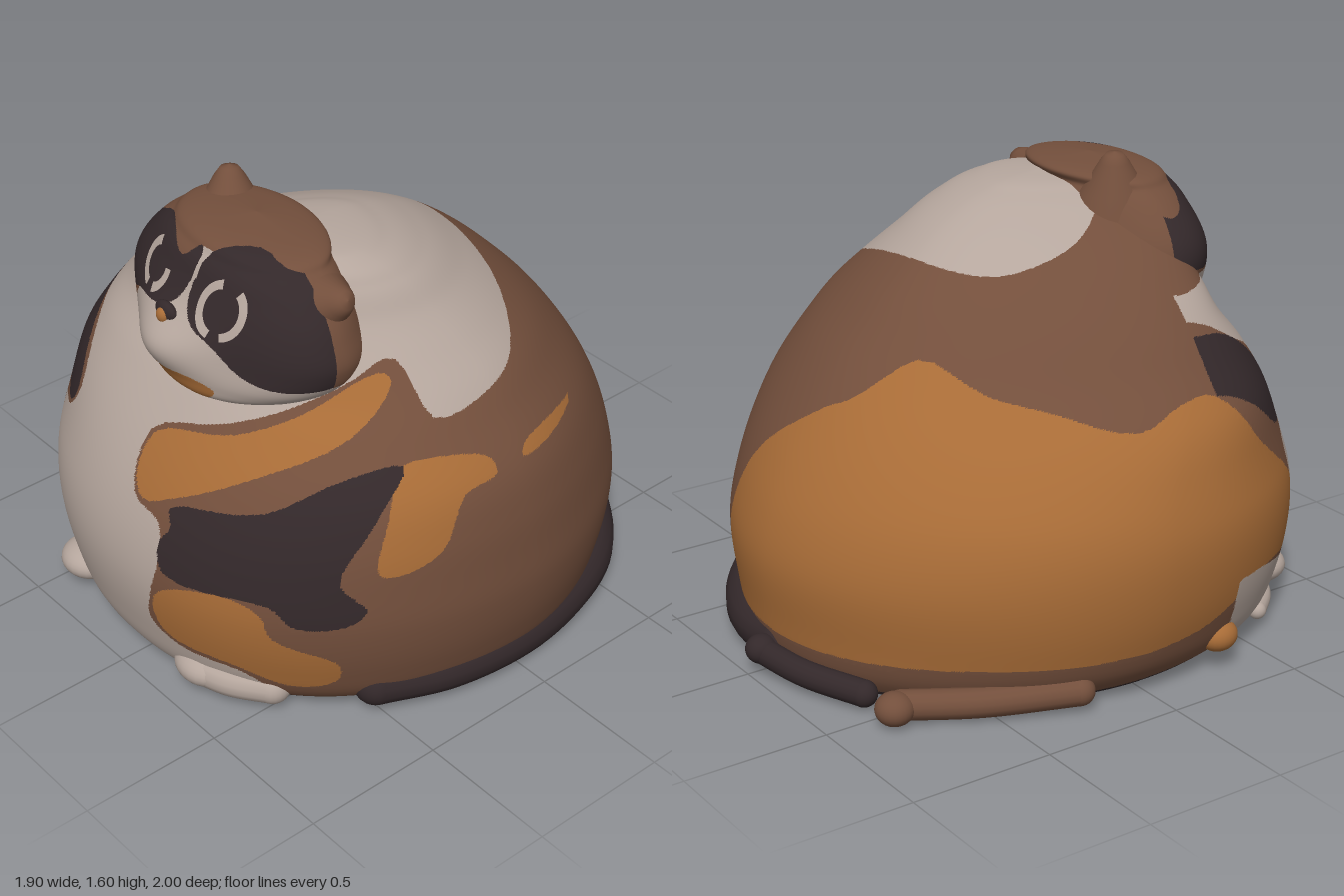
import * as THREE from 'three';

const mat = (name, color) => {
  const m = new THREE.MeshStandardMaterial({ color });
  m.name = name;
  return m;
};

// Oval exponents: the front half is a little squarer than the back half
const FRONT = 2.12, BACK = 1.88;
const spow = (v, p) => Math.sign(v) * Math.abs(v) ** (2 / p);

// Rounds a patch outline, and tests whether a point lies inside it
function smooth(poly) {
  const v = poly.map(([a, b]) => new THREE.Vector3(a, b, 0));
  return new THREE.CatmullRomCurve3(v, true).getPoints(poly.length * 4).map((p) => [p.x, p.y]);
}
function inside(poly, a, b) {
  let hit = false;
  for (let i = 0, j = poly.length - 1; i < poly.length; j = i++) {
    const [xi, yi] = poly[i], [xj, yj] = poly[j];
    if ((yi > b) !== (yj > b) && a < ((xj - xi) * (b - yi)) / (yj - yi) + xi) hit = !hit;
  }
  return hit;
}

// Cross-sections: y, centre x, half width, front z, back z, z of the widest place
const bodyRings = [
  [0.02, 0, 0.8, 0.88, -0.87], [0.08, 0, 0.865, 0.93, -0.9], [0.2, 0, 0.915, 0.97, -0.92],
  [0.4, 0, 0.95, 1.0, -0.935], [0.55, 0, 0.945, 0.985, -0.9], [0.7, 0.015, 0.915, 0.935, -0.83],
  [0.85, 0.03, 0.86, 0.85, -0.735], [1.0, 0.045, 0.75, 0.73, -0.62], [1.1, 0.05, 0.675, 0.63, -0.525],
  [1.2, 0.05, 0.58, 0.58, -0.42], [1.3, 0.06, 0.475, 0.53, -0.29], [1.4, 0.1, 0.36, 0.48, -0.12],
  [1.46, 0.12, 0.26, 0.44, 0.03], [1.49, 0.12, 0.15, 0.39, 0.16], [1.5, 0.12, 0, 0.28, 0.28],
].map((r) => [...r, (r[3] + r[4]) / 2]);
const headRings = [
  [1.0, 0.06, 0.1, 0.67, 0.4, 0.45], [1.04, 0.06, 0.28, 0.735, 0.25, 0.45], [1.1, 0.06, 0.4, 0.745, 0.18, 0.45],
  [1.2, 0.05, 0.47, 0.73, 0.16, 0.45], [1.3, 0.04, 0.465, 0.715, 0.18, 0.46], [1.4, 0.045, 0.41, 0.68, 0.22, 0.45],
  [1.48, 0.05, 0.325, 0.635, 0.26, 0.43], [1.53, 0.05, 0.22, 0.56, 0.28, 0.41], [1.55, 0.05, 0, 0.42, 0.42, 0.42],
];
function sampler(rings) {
  const ys = new Float32Array(rings.map((r) => r[0]));
  const vals = new Float32Array(rings.flatMap((r) => r.slice(1)));
  const curve = new THREE.CubicInterpolant(ys, vals, 5, new Float32Array(5));
  return (y) => curve.evaluate(y);
}
const headAt = sampler(headRings);
// Swellings along z: the muzzle, and the right shoulder (side runs from -1 to 1 across the body)
const muzzle = (x, y) => 0.09 * Math.exp(-(x * x) / 0.028 - (y - 1.2) ** 2 / 0.01);
const shoulder = (x, y, side) => (side < 0 ? 0.22 * side * side * THREE.MathUtils.smoothstep(y, 0.6, 1.1) : 0);

// Front surface of the head, used to drape the face details
function faceZ(x, y) {
  const [cx, hw, zf, , zm] = headAt(y);
  const d = Math.min(1, Math.abs((x - cx) / hw));
  return zm + (zf - zm) * (1 - d ** FRONT) ** (1 / FRONT) + muzzle(x, y);
}

// Skins the cross-sections; triangles are split along patch borders and sorted by colour
function loft(rings, rows, segs, colourAt, materials, swell) {
  const at = sampler(rings), y0 = rings[0][0], y1 = rings[rings.length - 1][0];
  const pos = [];
  for (let i = 0; i <= rows; i++) {
    const y = y0 + (y1 - y0) * Math.sin((i / rows) * Math.PI / 2);
    const [cx, hw, zf, zb, zm] = at(Math.min(y, y1));
    for (let j = 0; j < segs; j++) {
      const a = (j / segs) * Math.PI * 2, p = Math.cos(a) > 0 ? FRONT : BACK;
      const s = spow(Math.sin(a), p), c = spow(Math.cos(a), p);
      const x = cx + Math.max(hw, 0) * s;
      pos.push(x, y, zm + (c > 0 ? zf - zm : zm - zb) * c + swell(x, y, s));
    }
  }
  const buckets = materials.map(() => []), mids = new Map(), tints = [];
  const tint = (v) => (tints[v] ??= colourAt(pos[v * 3], pos[v * 3 + 1], pos[v * 3 + 2]));
  const mid = (a, b) => {
    const key = a < b ? `${a},${b}` : `${b},${a}`;
    if (!mids.has(key)) {
      mids.set(key, pos.length / 3);
      for (let k = 0; k < 3; k++) pos.push((pos[a * 3 + k] + pos[b * 3 + k]) / 2);
    }
    return mids.get(key);
  };
  const add = (a, b, c, depth = 2) => {
    if (depth && (tint(a) !== tint(b) || tint(b) !== tint(c))) {
      const ab = mid(a, b), bc = mid(b, c), ca = mid(c, a);
      for (const t of [[a, ab, ca], [ab, b, bc], [ca, bc, c], [ab, bc, ca]]) add(...t, depth - 1);
    } else {
      const m = [0, 1, 2].map((k) => (pos[a * 3 + k] + pos[b * 3 + k] + pos[c * 3 + k]) / 3);
      buckets[colourAt(...m)].push(a, b, c);
    }
  };
  // Flat floor, then the wall
  const hub = pos.length / 3;
  pos.push(rings[0][1], y0, rings[0][5]);
  for (let j = 0; j < segs; j++) add(hub, (j + 1) % segs, j);
  for (let i = 0; i < rows; i++) for (let j = 0; j < segs; j++) {
    const a = i * segs + j, b = i * segs + ((j + 1) % segs);
    add(a, b, b + segs);
    add(a, b + segs, a + segs);
  }
  const g = new THREE.BufferGeometry();
  g.setAttribute('position', new THREE.Float32BufferAttribute(pos, 3));
  g.setIndex(buckets.flat());
  let start = 0;
  buckets.forEach((b, k) => { g.addGroup(start, b.length, k); start += b.length; });
  g.computeVertexNormals();
  return new THREE.Mesh(g, materials);
}

const BROWN = 0, ORANGE = 1, CREAM = 2, DARK = 3;

// Coat patches seen from the front (x, y)
const frontPatches = [
  [DARK, [[-0.76, 0.93], [-0.63, 1.09], [-0.57, 0.98], [-0.46, 0.78], [-0.51, 0.71], [-0.68, 0.74]]],
  [ORANGE, [[0.02, 0.88], [0.3, 0.97], [0.45, 1.06], [0.56, 1.18], [0.6, 1.15], [0.6, 1.02], [0.42, 0.88],
    [0.2, 0.75], [0.08, 0.7], [0.02, 0.75]]],
  [DARK, [[0.2, 0.72], [0.5, 0.8], [0.65, 0.92], [0.74, 0.95], [0.76, 0.8], [0.73, 0.6], [0.79, 0.5],
    [0.75, 0.44], [0.64, 0.43], [0.57, 0.5], [0.22, 0.5], [0.19, 0.6], [0.22, 0.66]]],
  [ORANGE, [[0.18, 0.38], [0.25, 0.45], [0.45, 0.5], [0.55, 0.46], [0.58, 0.37], [0.72, 0.28], [0.7, 0.18],
    [0.6, 0.14], [0.45, 0.2], [0.2, 0.24]]],
  [CREAM, [[-0.57, 1.18], [-0.6, 1.05], [-0.53, 0.97], [-0.44, 0.8], [-0.5, 0.7], [-0.62, 0.66], [-0.66, 0.55],
    [-0.64, 0.42], [-0.67, 0.27], [-0.9, 0.33], [-0.88, 0.2], [-0.8, 0], [0.5, 0], [0.52, 0.12], [0.45, 0.18],
    [0.25, 0.2], [0.15, 0.27], [0.17, 0.4], [0.2, 0.55], [0.17, 0.66], [0.04, 0.7], [0.0, 0.88], [0.25, 0.985],
    [0.42, 1.075], [0.54, 1.2], [0.5, 1.32], [0, 1.35], [-0.4, 1.22]]],
].map(([c, poly]) => [c, smooth(poly)]);
// Flank (z, y), upper back (x, z) and rump (angle round from the front through -x, y)
const flankPatches = [
  [[0.56, 0.63], [0.5, 0.82], [0.43, 0.94], [0.35, 0.96], [0.15, 0.92], [0.14, 0.87], [0.27, 0.84], [0.37, 0.68], [0.5, 0.62]],
  [[0.03, 0.88], [0, 0.91], [-0.15, 0.92], [-0.3, 0.9], [-0.15, 0.88]],
].map(smooth);
const backPatch = smooth([[-0.28, 0.08], [-0.23, -0.16], [-0.02, -0.29], [0.4, -0.26], [0.67, -0.1], [0.74, 0.05],
  [0.72, 0.27], [0.57, 0.3], [0.5, 0.45], [0.3, 0.45], [0, 0.4], [-0.2, 0.25]]);
const rumpPatch = smooth([[202, 0.2], [197, 0.65], [178, 0.88], [170, 0.93], [154, 1.06], [127, 0.98], [109, 0.94], [90, 0.88],
  [77, 0.93], [67, 0.93], [58, 0.75], [45, 0.58], [40, 0.5], [41, 0.3], [60, 0.32], [80, 0.2], [130, 0.17], [180, 0.15],
].map(([d, y]) => [THREE.MathUtils.degToRad(d), y]));

function bodyColour(x, y, z) {
  if (y < 0.035) return DARK;
  if (z > 0.33) for (const [c, poly] of frontPatches) if (inside(poly, x, y)) return c;
  if (x > 0.3 && flankPatches.some((p) => inside(p, z, y))) return ORANGE;
  if (y > 0.95 && inside(backPatch, x, z)) return CREAM;
  const turn = (Math.atan2(-x, z) + Math.PI * 2) % (Math.PI * 2);
  return inside(rumpPatch, turn, y) ? ORANGE : BROWN;
}

// Face patches (x, y)
const masks = [
  [[-0.46, 1.25], [-0.4, 1.37], [-0.2, 1.49], [-0.12, 1.48], [-0.03, 1.45], [0.03, 1.5], [0.05, 1.47],
    [0.02, 1.34], [-0.05, 1.3], [-0.2, 1.27], [-0.3, 1.22]],
  [[0.085, 1.5], [0.2, 1.53], [0.38, 1.48], [0.46, 1.4], [0.56, 1.3], [0.55, 1.17], [0.42, 1.15], [0.3, 1.18],
    [0.2, 1.25], [0.1, 1.3], [0.06, 1.36]],
].map(smooth);
const muzzlePatch = [[-0.25, 1.2], [-0.2, 1.28], [-0.04, 1.31], [0.01, 1.34], [0.04, 1.5], [0.09, 1.5],
  [0.06, 1.36], [0.1, 1.3], [0.2, 1.25], [0.35, 1.17]];
const chin = smooth([[-0.18, 1.12], [-0.1, 1.135], [0.02, 1.12], [0.12, 1.12], [0.21, 1.09], [0.16, 1.04], [0.05, 1.03], [-0.1, 1.06]]);

function headColour(x, y, z) {
  if (z > 0.45 + 0.08 * x) {
    if (masks.some((m) => inside(m, x, y))) return DARK;
    if (inside(chin, x, y)) return ORANGE;
    if (y < 1.21 || inside(muzzlePatch, x, y)) return CREAM;
  }
  return y < 1.15 ? CREAM : BROWN;
}

export function createModel() {
  const cat = new THREE.Group();
  const brown = mat('brown fur', 0x734f3c), orange = mat('orange fur', 0xa86c37);
  const cream = mat('cream fur', 0xb5a69d), dark = mat('dark fur', 0x33282a);
  const coat = [brown, orange, cream, dark];
  const put = (name, mesh) => { mesh.name = name; cat.add(mesh); return mesh; };
  const ball = (name, m, p, s) => {
    const b = put(name, new THREE.Mesh(new THREE.SphereGeometry(1, 24, 16), m));
    b.position.set(...p);
    b.scale.set(...s);
  };
  const limb = (name, m, pts, r) => {
    const v = pts.map((p) => new THREE.Vector3(...p));
    put(name, new THREE.Mesh(new THREE.TubeGeometry(new THREE.CatmullRomCurve3(v), 40, r, 14), m));
    for (const p of [pts[0], pts[pts.length - 1]]) ball(name + 'End', m, p, [r, r, r]);
  };

  put('body', loft(bodyRings, 100, 190, bodyColour, coat, shoulder));
  put('head', loft(headRings, 70, 160, headColour, coat, muzzle));

  // Rounded ears
  const earProfile = [[0.15, -0.07], [0.11, 0], [0.075, 0.05], [0.05, 0.095], [0.03, 0.122], [0, 0.13]];
  const earGeo = new THREE.LatheGeometry(earProfile.map((p) => new THREE.Vector2(...p)), 24);
  for (const [name, p, d] of [['rightEar', [-0.15, 1.475, 0.37], [-0.13, 1, -0.1]], ['leftEar', [0.385, 1.385, 0.43], [0.87, 0.45, 0]]]) {
    const ear = put(name, new THREE.Mesh(earGeo, brown));
    ear.position.set(...p);
    ear.quaternion.setFromUnitVectors(new THREE.Vector3(0, 1, 0), new THREE.Vector3(...d).normalize());
  }

  // Crescent eye rims draped over the face: centre, radius, arcs as start and sweep
  for (const [name, x, y, r, arcs] of [['rightEye', -0.13, 1.38, 0.078, [[110, 145], [-75, 85]]], ['leftEye', 0.2, 1.365, 0.092, [[105, 150], [-75, 130]]]]) {
    for (const [from, sweep] of arcs) {
      const g = new THREE.RingGeometry(r - 0.027, r, 24, 3, THREE.MathUtils.degToRad(from), THREE.MathUtils.degToRad(sweep));
      const q = g.attributes.position;
      for (let i = 0; i < q.count; i++) {
        const px = q.getX(i) + x, py = q.getY(i) + y;
        q.setXYZ(i, px, py, faceZ(px, py) + 0.006);
      }
      g.computeVertexNormals();
      put(name, new THREE.Mesh(g, cream));
    }
  }

  // Nose
  ball('nose', dark, [0, 1.295, faceZ(0, 1.295) - 0.005], [0.05, 0.034, 0.022]);
  ball('noseTip', orange, [0, 1.287, faceZ(0, 1.287) + 0.004], [0.024, 0.026, 0.018]);

  // Front paws and toes
  ball('rightFrontPaw', cream, [-0.43, 0.09, 0.82], [0.105, 0.065, 0.1]);
  ball('leftFrontPaw', cream, [0.27, 0.095, 0.86], [0.11, 0.066, 0.09]);
  limb('leftFrontToes', cream, [[0.28, 0.095, 0.875], [0.39, 0.093, 0.835], [0.5, 0.09, 0.755]], 0.064);
  limb('rightFrontToes', cream, [[-0.5, 0.06, 0.77], [-0.6, 0.06, 0.7], [-0.68, 0.06, 0.61]], 0.032);
  ball('sideToe', orange, [-0.84, 0.12, 0.3], [0.06, 0.055, 0.07]);

  // Tail curled round the left side
  limb('tail', dark, [[0.72, 0.105, 0.5], [0.815, 0.1, 0.25], [0.825, 0.085, -0.12], [0.7, 0.08, -0.5], [0.48, 0.08, -0.72],
    [0.22, 0.08, -0.85], [0.02, 0.08, -0.86]], 0.078);

  // Hind feet at the back
  ball('hindToe', dark, [0, 0.08, -0.945], [0.055, 0.05, 0.055]);
  limb('hindFoot', dark, [[0, 0.07, -0.94], [-0.2, 0.06, -0.9], [-0.42, 0.055, -0.81]], 0.045);
  limb('rightHindFoot', brown, [[-0.56, 0.06, -0.76], [-0.69, 0.06, -0.54], [-0.82, 0.07, -0.25]], 0.05);
  ball('rightHindToe', brown, [-0.57, 0.06, -0.79], [0.065, 0.055, 0.065]);
  return cat;
}
